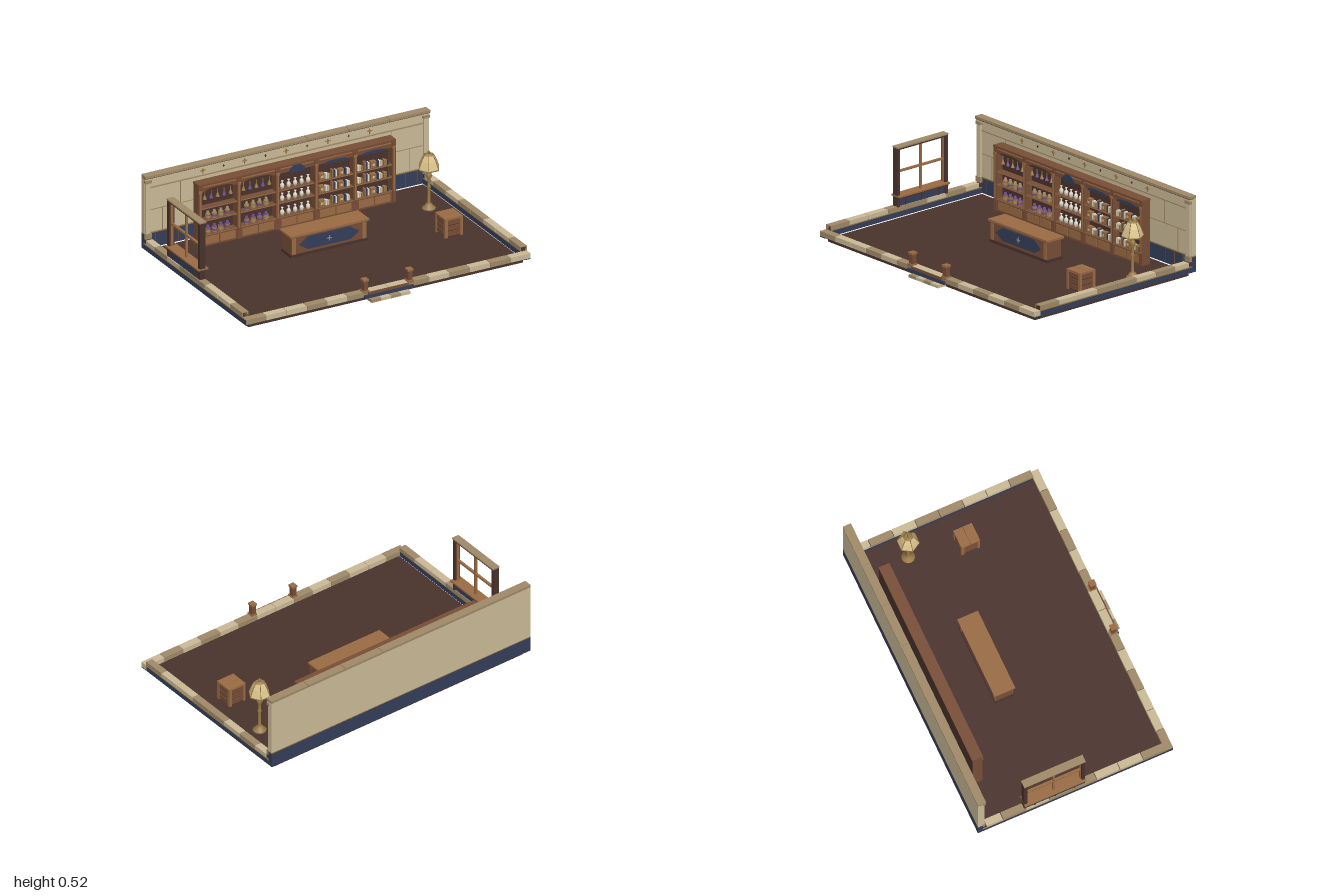
import * as THREE from 'three';

const mat = (name, color) => {
  const m = new THREE.MeshStandardMaterial({ color });
  m.name = name;
  return m;
};

export function createModel() {
  const dark = mat('dark wood', 0x4a322c), cream = mat('cream stone', 0xcbba96), tan = mat('tan stone', 0xa08a69);
  const navy = mat('navy paint', 0x333e5a), brown = mat('brown wood', 0x784e36), wood = mat('light wood', 0x9a6b44);
  const brass = mat('brass', 0x9a7a48), purple = mat('purple', 0x704d94), white = mat('porcelain', 0xe2dccb);
  const glow = mat('lamp shade', 0xdcc48c);
  glow.flatShading = true;

  const root = new THREE.Group();
  root.name = 'shopRoom';
  let target = root;
  const part = (name) => {
    target = new THREE.Group();
    target.name = name;
    root.add(target);
  };
  const add = (name, geo, m, x = 0, y = 0, z = 0) => {
    const mesh = new THREE.Mesh(geo, m);
    mesh.name = name;
    mesh.position.set(x, y, z);
    target.add(mesh);
    return mesh;
  };
  // box given by its bounds
  const box = (name, m, x0, x1, y0, y1, z0, z1) => add(name,
    new THREE.BoxGeometry(x1 - x0, y1 - y0, z1 - z0), m, (x0 + x1) / 2, (y0 + y1) / 2, (z0 + z1) / 2);
  const cyl = (name, m, r0, r1, h, n, x, y, z) => add(name, new THREE.CylinderGeometry(r1, r0, h, n), m, x, y + h / 2, z);
  const lathe = (name, m, pts, n, x, y, z) =>
    add(name, new THREE.LatheGeometry(pts.map(p => new THREE.Vector2(...p)), n), m, x, y, z);
  // flat plate extruded towards +z
  const plate = (name, m, pts, depth, x, y, z) => {
    const s = new THREE.Shape(pts.map(p => new THREE.Vector2(...p)));
    return add(name, new THREE.ExtrudeGeometry(s, { depth, bevelEnabled: false }), m, x, y, z);
  };
  const star = (r) => Array.from({ length: 8 }, (_, i) => {
    const a = i * Math.PI / 4, q = i % 2 ? r * 0.3 : r;
    return [Math.cos(a) * q, Math.sin(a) * q];
  });

  part('floor');
  box('floorSlab', dark, -0.955, 0.955, 0, 0.022, -0.637, 0.6);

  // low side walls with alternating coping stones
  part('sideWalls');
  const zs = [-0.61, -0.5, -0.345, -0.19, -0.035, 0.125, 0.28, 0.435, 0.587];
  for (const s of [-1, 1]) {
    const side = (name, m, a, b, y0, y1, z0, z1) => box(name, m, Math.min(s * a, s * b), Math.max(s * a, s * b), y0, y1, z0, z1);
    side('sidePlinth', navy, 0.95, 0.99, 0.03, 0.064, -0.637, 0.635);
    side('brassLine', brass, 0.949, 0.992, 0.064, 0.07, -0.637, 0.587);
    side('sideCore', dark, 0.951, 0.986, 0.07, 0.094, -0.637, 0.585);
    zs.slice(0, -1).forEach((z, i) =>
      side('copingStone', [1, 3, 4, 7].includes(i) ? tan : cream, 0.946, 0.992, 0.072, 0.099, z + 0.002, zs[i + 1] - 0.002));
  }

  // front kerb
  part('frontKerb');
  box('kerbCore', dark, -0.985, 0.985, 0.03, 0.064, 0.59, 0.63);
  const tanTiles = [0, 3, 5, 8, 10, 12];
  for (let i = 0; i < 14; i++) {
    const x = -0.992 + i * 0.1417;
    box('kerbStone', tanTiles.includes(i) ? tan : cream, x + 0.002, x + 0.14, 0.036, 0.068, 0.585, 0.636);
  }

  // entrance: threshold, step and two posts
  part('entrance');
  box('threshold', navy, -0.17, 0.17, 0.028, 0.05, 0.62, 0.647);
  box('thresholdBoard', brown, -0.14, 0.14, 0.05, 0.066, 0.62, 0.643);
  for (let i = 0; i < 4; i++) {
    const x = -0.136 + i * 0.068;
    box('stepStone', i % 2 ? cream : tan, x + 0.001, x + 0.067, 0.003, 0.022, 0.6, 0.667);
  }
  for (const x of [-0.155, 0.155]) {
    box('postFoot', wood, x - 0.02, x + 0.02, 0.06, 0.077, 0.594, 0.64);
    box('gatePost', brown, x - 0.015, x + 0.015, 0.07, 0.14, 0.6, 0.632);
    box('postCap', wood, x - 0.019, x + 0.019, 0.137, 0.15, 0.596, 0.637);
  }

  // tall back wall
  part('backWall');
  box('wallBase', navy, -0.99, 0.99, 0.03, 0.13, -0.667, -0.635);
  box('wallLine', brass, -0.991, 0.991, 0.128, 0.135, -0.667, -0.632);
  box('wallPanel', cream, -0.99, 0.99, 0.135, 0.505, -0.666, -0.637);
  box('cornice', cream, -0.99, 0.99, 0.488, 0.506, -0.637, -0.62);
  box('corniceLine', dark, -0.99, 0.99, 0.501, 0.505, -0.66, -0.616);
  const caps = [-0.993, 0.14, 0.425, 0.71, 0.993];
  for (let i = 0; i < 4; i++) box('capStone', tan, caps[i] + 0.002, caps[i + 1] - 0.002, 0.505, 0.521, -0.667, -0.613);
  box('friezeLine', tan, -0.95, 0.95, 0.43, 0.437, -0.637, -0.63);
  box('panelSeam', tan, -0.95, 0.95, 0.281, 0.286, -0.637, -0.635);
  for (const s of [-1, 1]) {
    box('upperSeam', tan, s * 0.735 - 0.002, s * 0.735 + 0.002, 0.285, 0.43, -0.637, -0.635);
    box('lowerSeam', tan, s * 0.86 - 0.002, s * 0.86 + 0.002, 0.135, 0.283, -0.637, -0.635);
    box('cornerColumn', cream, s * 0.968 - 0.016, s * 0.968 + 0.016, 0.1, 0.49, -0.637, -0.62);
    box('columnFoot', tan, s * 0.968 - 0.022, s * 0.968 + 0.022, 0.1, 0.135, -0.637, -0.615);
    box('columnHead', tan, s * 0.968 - 0.022, s * 0.968 + 0.022, 0.47, 0.49, -0.637, -0.615);
    for (const x of [0.75, 0.83, 0.91])
      box('basePanel', brown, s * x - 0.002, s * x + 0.002, 0.04, 0.125, -0.636, -0.632);
  }
  for (let i = -4; i <= 4; i++)
    plate('friezeStar', i % 2 ? dark : brass, star(i % 2 ? 0.009 : 0.022), 0.006, i * 0.145, 0.465, -0.637);

  // open window standing on the left wall
  part('window');
  box('windowApron', navy, -0.985, -0.952, 0.098, 0.15, -0.34, 0.035);
  for (const z of [-0.345, 0.04]) {
    box('windowJamb', dark, -0.985, -0.945, 0.095, 0.47, z - 0.011, z + 0.011);
    box('jambTrim', wood, -0.975, -0.955, 0.17, 0.465, z + (z < 0 ? 0.011 : -0.016), z + (z < 0 ? 0.016 : -0.011));
  }
  for (const z of [-0.285, -0.15, -0.02]) box('apronRib', dark, -0.988, -0.949, 0.098, 0.15, z - 0.005, z + 0.005);
  box('windowSill', wood, -1, -0.926, 0.16, 0.17, -0.357, 0.053);
  box('sillUnderside', dark, -0.992, -0.936, 0.148, 0.16, -0.35, 0.047);
  box('windowHead', dark, -0.985, -0.945, 0.462, 0.473, -0.355, 0.05);
  box('headCap', tan, -0.99, -0.94, 0.473, 0.482, -0.357, 0.053);
  box('mullion', wood, -0.973, -0.957, 0.17, 0.463, -0.158, -0.146);
  box('transom', wood, -0.973, -0.957, 0.313, 0.325, -0.335, 0.03);

  // wall cabinet with five bays
  part('cabinet');
  box('cabinetBack', dark, -0.68, 0.68, 0.022, 0.435, -0.567, -0.55);
  box('cabinetTop', brown, -0.687, 0.687, 0.43, 0.443, -0.567, -0.495);
  box('cabinetBase', brown, -0.68, 0.68, 0.022, 0.1, -0.56, -0.502);
  box('header', brown, -0.68, 0.68, 0.39, 0.432, -0.55, -0.503);
  for (const y of [0.1, 0.195, 0.278]) {
    box('shelf', brown, -0.68, 0.68, y - 0.008, y, -0.55, -0.503);
    box('shelfEdge', wood, -0.68, 0.68, y - 0.006, y - 0.001, -0.503, -0.5);
  }
  for (let i = 0; i < 6; i++) {
    const x = -0.674 + i * 0.2696;
    box('upright', brown, x - 0.012, x + 0.012, 0.022, 0.432, -0.56, -0.498);
    box('uprightTrim', wood, x - 0.005, x + 0.005, 0.1, 0.39, -0.498, -0.494);
    box('uprightHead', wood, x - 0.012, x + 0.012, 0.385, 0.4, -0.498, -0.493);
  }
  const arch = (w, h) => [[-w, 0], [w, 0], [w, h * 0.4], [w * 0.6, h * 0.85], [0, h], [-w * 0.6, h * 0.85], [-w, h * 0.4]];
  for (let b = 0; b < 5; b++) {
    const cx = (b - 2) * 0.2696;
    box('baseDoor', wood, cx - 0.11, cx - 0.004, 0.035, 0.085, -0.502, -0.499);
    box('baseDoor', wood, cx + 0.004, cx + 0.11, 0.035, 0.085, -0.502, -0.499);
    box('headerRail', wood, cx - 0.115, cx + 0.115, 0.418, 0.424, -0.503, -0.499);
    if (b === 2) plate('centreArch', navy, arch(0.055, 0.05), 0.005, cx, 0.38, -0.503);
    else if (b > 2) plate('headerArch', navy, arch(0.09, 0.02), 0.005, cx, 0.383, -0.503);
    else plate('headerArch', dark, arch(0.09, 0.016), 0.005, cx, 0.392, -0.503);
  }

  // goods on the shelves
  part('shelfGoods');
  const vase = [[0, 0], [0.009, 0], [0.014, 0.018], [0.012, 0.03], [0.005, 0.038], [0.005, 0.046], [0.009, 0.052], [0, 0.052]];
  const gz = -0.524;
  for (let b = 0; b < 5; b++) {
    const cx = (b - 2) * 0.2696;
    for (let i = 0; i < 5; i++) {
      const x = cx + (i - 2) * 0.045;
      for (const y of [0.1, 0.195, 0.278]) {
        if (b < 2 && y > 0.25) { // hanging bunches
          cyl('hangingCord', brass, 0.003, 0.003, 0.04, 5, x, 0.355, gz);
          add('driedBunch', new THREE.ConeGeometry(0.013, 0.035, 6), i % 2 ? purple : brass, x, 0.345, gz);
        } else if (b < 2 && i < 4) { // jars
          const jx = x + 0.022;
          cyl('jar', (i + b) % 3 ? brass : wood, 0.017, 0.017, 0.03, 8, jx, y, gz);
          cyl('jarBand', (i + b) % 2 ? purple : tan, 0.0178, 0.0178, 0.012, 8, jx, y + 0.009, gz);
          cyl('jarLid', y > 0.15 ? tan : purple, 0.013, 0.008, 0.02, 8, jx, y + 0.03, gz);
        } else if (b === 2) {
          lathe('vase', white, vase, 10, x, y, gz);
        } else if (b > 2) { // books and boxes
          const m = [wood, cream, navy, brass, white];
          const h = 0.036 + ((i * 7 + b * 3) % 4) * 0.005;
          if ((i + b) % 3 === 0) {
            box('storageBox', wood, x - 0.018, x + 0.018, y, y + 0.042, gz - 0.015, gz + 0.014);
            box('boxLabel', cream, x - 0.008, x + 0.008, y + 0.014, y + 0.028, gz + 0.014, gz + 0.016);
          } else for (let k = 0; k < 3; k++)
            box('book', m[(i + k * 2 + b) % 5], x - 0.018 + k * 0.012, x - 0.008 + k * 0.012, y, y + h - k * 0.004, gz - 0.013, gz + 0.012);
        }
      }
    }
  }

  // shop counter
  part('counter');
  box('counterFoot', dark, -0.268, 0.268, 0.022, 0.04, -0.224, -0.098);
  box('counterBody', brown, -0.26, 0.26, 0.035, 0.156, -0.218, -0.104);
  box('counterTop', wood, -0.274, 0.274, 0.156, 0.169, -0.23, -0.092);
  box('counterEdge', brown, -0.268, 0.268, 0.15, 0.157, -0.225, -0.097);
  for (const x of [-0.245, 0.245]) box('cornerPost', wood, x - 0.013, x + 0.013, 0.04, 0.15, -0.22, -0.1);
  plate('frontPanel', navy, [[-0.21, 0.04], [-0.16, 0.008], [-0.15, 0], [0.15, 0], [0.16, 0.008], [0.21, 0.04],
    [0.16, 0.075], [0.15, 0.085], [-0.15, 0.085], [-0.16, 0.075]], 0.005, 0, 0.057, -0.104);
  plate('medallion', tan, star(0.02), 0.004, 0, 0.1, -0.099);

  // slatted crate
  part('crate');
  box('crateCore', dark, 0.697, 0.803, 0.022, 0.14, -0.003, 0.103);
  for (let i = 0; i < 3; i++) box('crateSlat', brown, 0.692, 0.808, 0.03 + i * 0.037, 0.06 + i * 0.037, -0.008, 0.108);
  for (const x of [0.697, 0.803]) for (const z of [-0.003, 0.103])
    box('cratePost', wood, x - 0.009, x + 0.009, 0.022, 0.143, z - 0.009, z + 0.009);
  for (const z of [-0.012, 0.051]) box('crateLid', wood, 0.688, 0.812, 0.138, 0.15, z, z + 0.061);

  // standing lamp with six-sided shade
  part('lamp');
  const lx = 0.812, lz = -0.312;
  lathe('lampStand', brass, [[0, 0], [0.042, 0], [0.042, 0.012], [0.028, 0.018], [0.022, 0.035], [0.01, 0.045], [0.009, 0.14],
    [0.015, 0.15], [0.009, 0.16], [0.009, 0.2], [0.02, 0.22], [0.016, 0.24], [0.006, 0.25], [0.006, 0.29]], 12, lx, 0.022, lz);
  const hex = (name, m, r0, r1, y, h, open) => {
    const s = add(name, new THREE.CylinderGeometry(r1, r0, h, 6, 1, open), m, lx, y + h / 2, lz);
    s.rotation.y = Math.PI / 2;
  };
  const shade = glow;
  shade.side = THREE.DoubleSide;
  hex('shadeSkirt', shade, 0.068, 0.05, 0.297, 0.05, true);
  hex('shadeCrown', shade, 0.05, 0.029, 0.347, 0.04, true);
  hex('shadeRim', brass, 0.07, 0.07, 0.291, 0.007, false);
  hex('shadeCap', brass, 0.033, 0.022, 0.384, 0.01, false);
  lathe('finial', brass, [[0, 0], [0.008, 0], [0.005, 0.006], [0.009, 0.012], [0, 0.024]], 8, lx, 0.393, lz);
  for (let i = 0; i < 6; i++) {
    const a = i * Math.PI / 3;
    const p = [[0.069, 0.297], [0.051, 0.347], [0.03, 0.387]].map(([r, y]) =>
      new THREE.Vector3(lx + Math.cos(a) * r, y, lz + Math.sin(a) * r));
    add('shadeRib', new THREE.TubeGeometry(new THREE.CatmullRomCurve3(p), 4, 0.0025, 5), brass);
  }
  return root;
}
